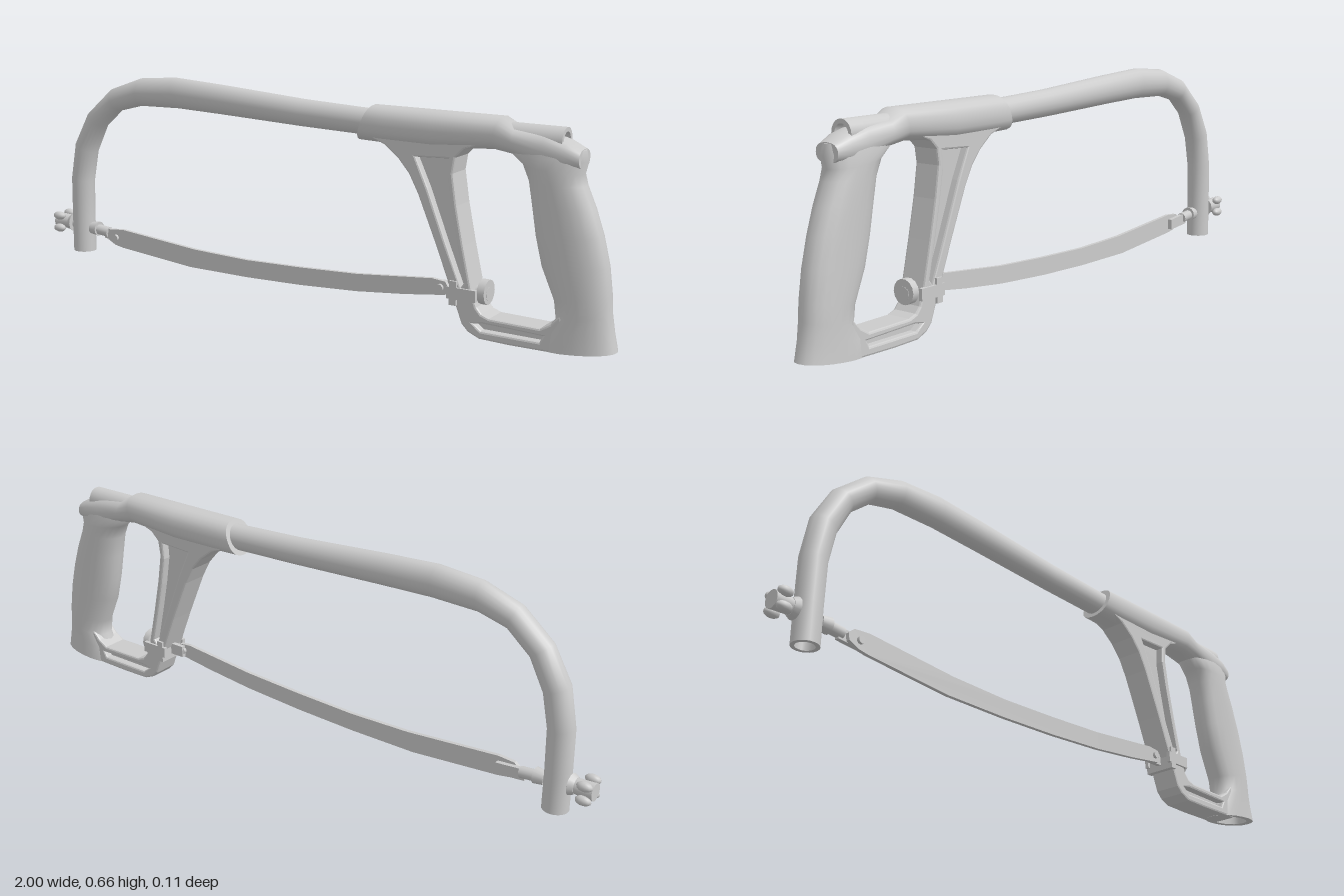
import * as THREE from 'three';

const material = new THREE.MeshStandardMaterial({ color: 0xcccccc, side: THREE.DoubleSide });

function add(parent, name, geometry, x = 0, y = 0, z = 0) {
  const mesh = new THREE.Mesh(geometry, material);
  mesh.name = name;
  mesh.position.set(x, y, z);
  parent.add(mesh);
  return mesh;
}

// Ring = [ax, ay, bx, by, halfDepth]: an ellipse spanning a to b in the xy plane.
function shrink([ax, ay, bx, by, h], k) {
  const cx = (ax + bx) / 2, cy = (ay + by) / 2;
  return [cx + (ax - cx) * k, cy + (ay - cy) * k, cx + (bx - cx) * k, cy + (by - cy) * k, h * k];
}
const mix = (p, q, t) => p.map((v, i) => v + (q[i] - v) * t);

// Skins the bands of rings; separate bands keep a sharp edge between them.
function loft(rings, { hollowStart = 0, hollowEnd = 0, sides = 20, roundness = 1 } = {}) {
  const bands = [rings];
  let first = rings[0], last = rings[rings.length - 1];
  if (hollowStart) {
    const rim = shrink(first, hollowStart);
    const deep = shrink(mix(first, rings[1], 0.8), hollowStart);
    bands.push([rim, first], [deep, rim]);
    first = deep;
  }
  if (hollowEnd) {
    const rim = shrink(last, hollowEnd);
    const deep = shrink(mix(last, rings[rings.length - 2], 0.5), hollowEnd);
    bands.push([last, rim], [rim, deep]);
    last = deep;
  }
  const pos = [], index = [];
  const bend = (v) => Math.sign(v) * Math.abs(v) ** roundness;
  const pushRing = ([ax, ay, bx, by, h]) => {
    const base = pos.length / 3;
    for (let j = 0; j < sides; j++) {
      const t = (j / sides) * Math.PI * 2, c = bend(Math.cos(t)), s = bend(Math.sin(t));
      pos.push((ax + bx) / 2 + ((bx - ax) / 2) * c, (ay + by) / 2 + ((by - ay) / 2) * c, h * s);
    }
    return base;
  };
  for (const band of bands) {
    const bases = band.map(pushRing);
    for (let i = 0; i + 1 < bases.length; i++) {
      for (let j = 0; j < sides; j++) {
        const k = (j + 1) % sides, p = bases[i], q = bases[i + 1];
        index.push(p + j, q + j, p + k, p + k, q + j, q + k);
      }
    }
  }
  const start = pushRing(first), end = pushRing(last);
  for (let j = 1; j + 1 < sides; j++) {
    index.push(start, start + j, start + j + 1, end, end + j + 1, end + j);
  }
  const g = new THREE.BufferGeometry();
  g.setAttribute('position', new THREE.Float32BufferAttribute(pos, 3));
  g.setIndex(index);
  g.computeVertexNormals();
  return g;
}

// Plate centred on z = 0 cut from an outline with optional holes
function plate(points, depth, holes = [], bevel = 0) {
  const toVectors = (list) => list.map(([x, y]) => new THREE.Vector2(x, y));
  const shape = new THREE.Shape(toVectors(points));
  for (const hole of holes) shape.holes.push(new THREE.Path(toVectors(hole)));
  const g = new THREE.ExtrudeGeometry(shape, {
    depth: depth - 2 * bevel, bevelEnabled: bevel > 0, bevelSize: bevel,
    bevelOffset: -bevel, bevelThickness: bevel, bevelSegments: 2,
  });
  return g.translate(0, 0, bevel - depth / 2);
}

const rod = (r1, r2, length, sides = 14) =>
  new THREE.CylinderGeometry(r1, r2, length, sides).rotateZ(-Math.PI / 2);

export function createModel() {
  const model = new THREE.Group();
  model.name = 'hacksaw';

  // Bent tube, from its open lower end up and back through the sleeve
  add(model, 'frameTube', loft([
    [-0.925, 0.05, -0.848, 0.05, 0.037], [-0.925, 0.16, -0.848, 0.16, 0.037],
    [-0.923, 0.3, -0.845, 0.29, 0.037], [-0.9, 0.42, -0.825, 0.39, 0.038],
    [-0.84, 0.525, -0.78, 0.48, 0.038], [-0.74, 0.61, -0.71, 0.54, 0.038],
    [-0.62, 0.652, -0.62, 0.563, 0.038], [-0.48, 0.664, -0.47, 0.567, 0.038],
    [-0.3, 0.654, -0.3, 0.562, 0.038], [0, 0.633, 0, 0.551, 0.038],
    [0.24, 0.623, 0.24, 0.545, 0.038], [0.78, 0.622, 0.78, 0.545, 0.037],
    [0.83, 0.622, 0.83, 0.546, 0.036],
  ], { hollowStart: 0.7, hollowEnd: 0.68 }));

  // Handle: sleeve, grip, and the ribbed strut with the lower guard
  const handle = new THREE.Group();
  handle.name = 'handle';
  model.add(handle);
  add(handle, 'sleeve', loft([
    [0.245, 0.636, 0.205, 0.532, 0.053], [0.3, 0.636, 0.29, 0.53, 0.055],
    [0.45, 0.636, 0.45, 0.53, 0.057], [0.65, 0.636, 0.63, 0.545, 0.055],
    [0.69, 0.612, 0.7, 0.535, 0.053], [0.78, 0.605, 0.78, 0.51, 0.052],
    [0.84, 0.588, 0.84, 0.51, 0.05], [0.88, 0.568, 0.88, 0.515, 0.04],
  ], { roundness: 0.85 }));
  add(handle, 'grip', loft([
    [0.785, 0.008, 0.995, 0.03, 0.056], [0.79, 0.06, 0.984, 0.08, 0.054],
    [0.822, 0.1, 0.975, 0.13, 0.053], [0.815, 0.15, 0.972, 0.18, 0.053],
    [0.775, 0.24, 0.962, 0.26, 0.053], [0.755, 0.32, 0.942, 0.34, 0.053],
    [0.742, 0.4, 0.917, 0.41, 0.054], [0.73, 0.47, 0.89, 0.47, 0.054],
    [0.71, 0.515, 0.882, 0.5, 0.054], [0.67, 0.545, 0.892, 0.535, 0.053],
    [0.67, 0.59, 0.885, 0.565, 0.045],
  ], { hollowStart: 0.72, roundness: 0.9 }));

  const outline = [
    [0.25, 0.55], [0.3, 0.53], [0.345, 0.495], [0.38, 0.455], [0.41, 0.4], [0.47, 0.26], [0.53, 0.11],
    [0.555, 0.045], [0.575, 0.025], [0.61, 0.01], [0.7, 0.008], [0.85, 0.01], [0.85, 0.12],
    [0.82, 0.09], [0.79, 0.072], [0.64, 0.074], [0.615, 0.083], [0.6, 0.1], [0.585, 0.14],
    [0.555, 0.27], [0.532, 0.38], [0.518, 0.47], [0.525, 0.515], [0.55, 0.54], [0.6, 0.56],
  ];
  const strutRecess = [[0.4, 0.505], [0.503, 0.51], [0.5, 0.46], [0.515, 0.37], [0.536, 0.27], [0.56, 0.165], [0.55, 0.15], [0.5, 0.27], [0.44, 0.42]];
  const guardRecess = [[0.59, 0.052], [0.615, 0.034], [0.79, 0.034], [0.8, 0.052], [0.62, 0.056]];
  add(handle, 'strutRim', plate(outline, 0.086, [strutRecess, guardRecess], 0.006));
  add(handle, 'strutWeb', plate(outline, 0.036));

  // Thin bowed blade with its end pins
  const blade = new THREE.Group();
  blade.name = 'bladeAssembly';
  blade.position.z = 0.012;
  model.add(blade);
  add(blade, 'blade', plate([
    [-0.765, 0.105], [-0.735, 0.09], [-0.7, 0.084], [-0.42, 0.06], [-0.2, 0.06], [0, 0.066], [0.2, 0.078],
    [0.36, 0.095], [0.49, 0.113], [0.505, 0.13], [0.49, 0.152], [0.45, 0.156], [0.2, 0.131],
    [0, 0.121], [-0.2, 0.115], [-0.4, 0.12], [-0.7, 0.145], [-0.75, 0.141], [-0.768, 0.125],
  ], 0.012));
  for (const [x, y] of [[-0.73, 0.115], [0.475, 0.133]]) {
    add(blade, 'bladePin', new THREE.CylinderGeometry(0.011, 0.011, 0.03, 10).rotateX(Math.PI / 2), x, y, 0);
  }

  // Front tension rod with its blade tongue
  add(model, 'tensionRod', rod(0.017, 0.017, 0.18), -0.865, 0.132, 0).rotation.z = -0.09;
  add(model, 'rodCollar', rod(0.024, 0.02, 0.03), -0.835, 0.13, 0);
  add(model, 'rodTongue', new THREE.BoxGeometry(0.09, 0.034, 0.014), -0.745, 0.117, -0.001).rotation.z = -0.09;

  // Wing nut with four rounded lobes
  const nut = new THREE.Group();
  nut.name = 'wingNut';
  nut.position.set(-0.965, 0.14, 0);
  model.add(nut);
  add(nut, 'nutHub', rod(0.022, 0.026, 0.066), 0, 0, 0);
  add(nut, 'nutFlange', rod(0.032, 0.024, 0.016), 0.03, 0, 0);
  for (let i = 0; i < 4; i++) {
    const a = Math.PI / 4 + (i * Math.PI) / 2;
    const lobe = new THREE.SphereGeometry(1, 10, 8).scale(0.024, 0.014, 0.014);
    add(nut, 'nutLobe', lobe, -0.011, Math.sin(a) * 0.03, Math.cos(a) * 0.036);
  }

  // Rear anchor passing through the strut
  const anchor = new THREE.Group();
  anchor.name = 'rearAnchor';
  anchor.position.set(0.56, 0.132, 0);
  model.add(anchor);
  add(anchor, 'anchorTongue', new THREE.BoxGeometry(0.11, 0.036, 0.014), -0.035, 0, -0.001);
  for (const side of [-1, 1]) {
    add(anchor, 'anchorCheek', new THREE.BoxGeometry(0.09, 0.034, 0.012), -0.005, 0, side * 0.044);
  }
  add(anchor, 'anchorBridge', new THREE.BoxGeometry(0.022, 0.07, 0.1), -0.03, 0, 0);
  add(anchor, 'anchorShank', rod(0.02, 0.02, 0.08), 0.02, 0, 0);
  add(anchor, 'anchorHead', rod(0.036, 0.036, 0.022), 0.048, 0.005, 0);

  return model;
}
